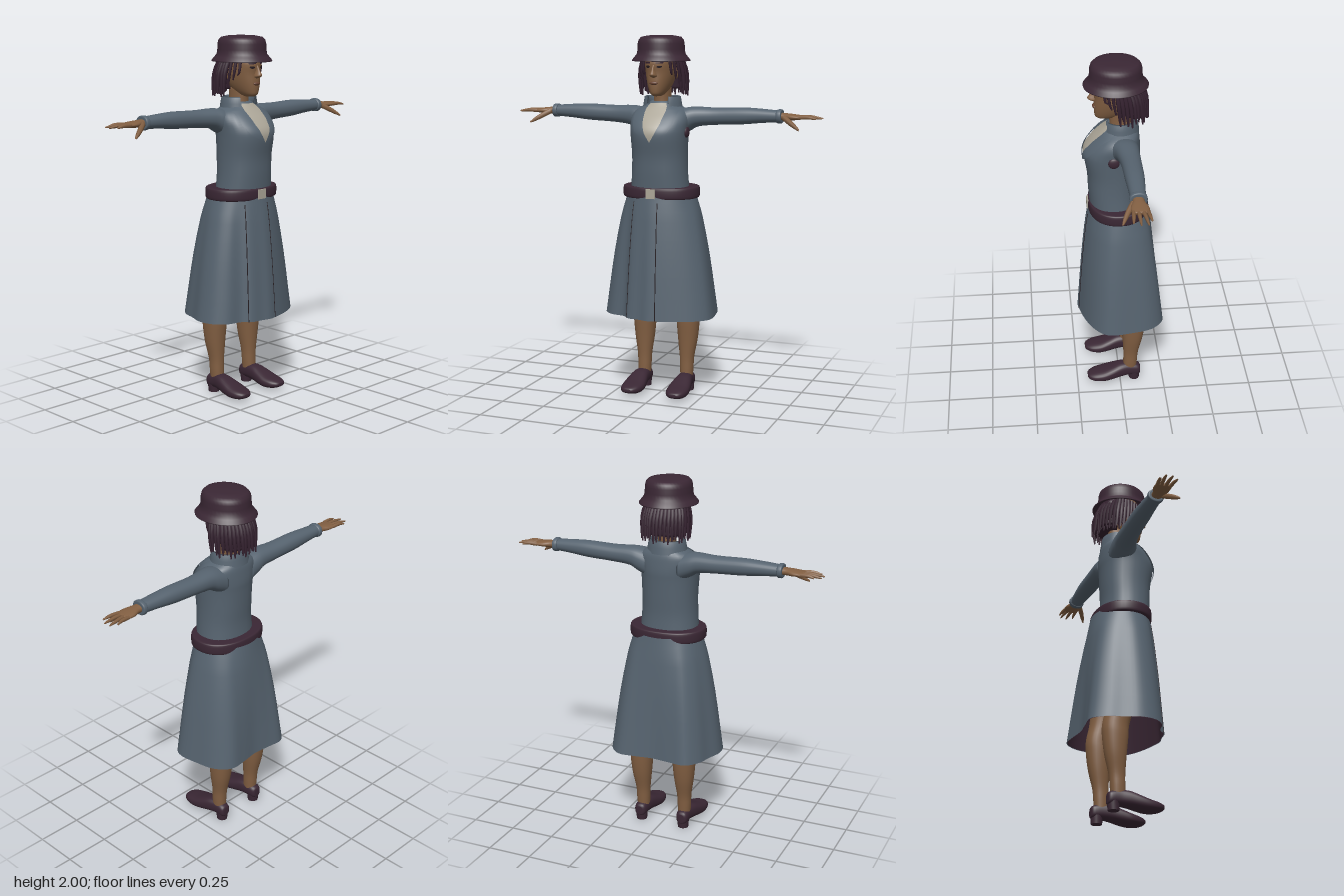
import * as THREE from 'three';

const mat = (name, color, double) => {
  const m = new THREE.MeshStandardMaterial({ color });
  m.name = name;
  if (double) m.side = THREE.DoubleSide;
  return m;
};

// Axis maps for lofts: (t along, u, v across), all right-handed
const alongY = (t, u, v) => [u, t, v];
const alongX = (t, u, v) => [t, v, u];
const alongZ = (t, u, v) => [v, u, t];

// Surface through a list of closed rings of [x, y, z] points
function skin(rings, capped = true) {
  const n = rings[0].length, pos = rings.flat(2), index = [];
  for (let i = 0; i < rings.length - 1; i++)
    for (let j = 0; j < n; j++) {
      const a = i * n + j, b = i * n + (j + 1) % n, c = a + n, d = b + n;
      index.push(a, c, b, b, c, d);
    }
  if (capped) [0, rings.length - 1].forEach((r) => {
    const centre = pos.length / 3, mid = [0, 1, 2].map((k) => rings[r].reduce((s, p) => s + p[k], 0) / n);
    pos.push(...mid);
    for (let j = 0; j < n; j++) {
      const a = r * n + j, b = r * n + (j + 1) % n;
      index.push(...(r ? [a, centre, b] : [a, b, centre]));
    }
  });
  return build(pos, index);
}

function build(pos, index) {
  const g = new THREE.BufferGeometry();
  g.setAttribute('position', new THREE.Float32BufferAttribute(pos, 3));
  g.setIndex(index);
  g.computeVertexNormals();
  return g;
}

// Smoothly subdivide sections [t, uMin, uMax, vMin, vMax]
function refine(s, k = 4) {
  const out = [], at = (i) => s[Math.max(0, Math.min(s.length - 1, i))];
  for (let i = 0; i < s.length - 1; i++)
    for (let j = 0; j < k; j++) {
      const f = j / k;
      out.push(s[i].map((p1, c) => {
        const p0 = at(i - 1)[c], p2 = at(i + 1)[c], p3 = at(i + 2)[c];
        return p1 + 0.5 * f * (p2 - p0 + f * (2 * p0 - 5 * p1 + 4 * p2 - p3 + f * (3 * (p1 - p2) + p3 - p0)));
      }));
    }
  out.push(s[s.length - 1]);
  return out;
}

function loft(sections, map = alongY, p = 0.9, n = 28) {
  const bend = (v) => Math.sign(v) * Math.abs(v) ** p;
  return skin(refine(sections).map(([t, u0, u1, v0, v1]) => Array.from({ length: n }, (_, j) => {
    const a = (j / n) * Math.PI * 2;
    return map(t, (u0 + u1) / 2 + (u1 - u0) / 2 * bend(Math.cos(a)), (v0 + v1) / 2 + (v1 - v0) / 2 * bend(Math.sin(a)));
  })));
}

// Thin sheet lying on the front of a lofted body; rows are [y, xLeft, xRight]
function panel(sections, rows, lift, p = 0.9) {
  const dense = refine(sections), pos = [], index = [], m = 8, k = 5, lerp = THREE.MathUtils.lerp;
  const frontZ = (x, y) => {
    const i = Math.max(0, dense.findIndex((s, q) => q === dense.length - 2 || dense[q + 1][0] >= y));
    const f = (y - dense[i][0]) / (dense[i + 1][0] - dense[i][0]);
    const [, u0, u1, v0, v1] = dense[i].map((v, c) => lerp(v, dense[i + 1][c], f));
    const r = Math.min(1, Math.abs(x - (u0 + u1) / 2) / ((u1 - u0) / 2));
    return (v0 + v1) / 2 + (v1 - v0) / 2 * (1 - r ** (2 / p)) ** (p / 2);
  };
  const total = (rows.length - 1) * k;
  for (let i = 0; i <= total; i++) {
    const q = Math.min(rows.length - 2, Math.floor(i / k)), f = i / k - q;
    const [y, l, r] = rows[q].map((v, c) => lerp(v, rows[q + 1][c], f));
    for (let j = 0; j <= m; j++) {
      const x = lerp(l, r, j / m), a = i * (m + 1) + j;
      pos.push(x, y, frontZ(x, y) + lift);
      if (i < total && j < m) index.push(a, a + 1, a + m + 1, a + 1, a + m + 2, a + m + 1);
    }
  }
  return build(pos, index);
}

// Tube that narrows from r0 to r1
function taper(points, r0, r1, sides = 7, steps = 8) {
  const curve = new THREE.CatmullRomCurve3(points.map((p) => new THREE.Vector3(...p)));
  const g = new THREE.TubeGeometry(curve, steps, r0, sides), pos = g.attributes.position, v = new THREE.Vector3();
  for (let i = 0; i < pos.count; i++) {
    const t = Math.floor(i / (sides + 1)) / steps;
    v.fromBufferAttribute(pos, i).lerp(curve.getPointAt(t), (1 - r1 / r0) * t ** 3);
    pos.setXYZ(i, v.x, v.y, v.z);
  }
  return g;
}

function flip(g) {
  const ix = g.index.array;
  for (let i = 0; i < ix.length; i += 3) [ix[i], ix[i + 1]] = [ix[i + 1], ix[i]];
  g.computeVertexNormals();
  return g;
}
const mirror = (g) => flip(g.clone().scale(-1, 1, 1));
const ball = (x, y, z, sx, sy, sz) => new THREE.SphereGeometry(1, 16, 12).scale(sx, sy, sz).translate(x, y, z);
const sym = (rows) => rows.map(([y, x, z0, z1]) => [y, -x, x, z0, z1]);

export function createModel() {
  const cloth = mat('slate cloth', 0x56636f, true), skinTone = mat('brown skin', 0x825f42);
  const plum = mat('dark plum', 0x3a2734, true), hairTone = mat('hair plum', 0x34212f, true);
  const cream = mat('cream', 0xaca698, true), lip = mat('lip brown', 0x694534, true);
  const ink = mat('dark lines', 0x241b20, true);
  const model = new THREE.Group();
  const add = (name, g, m) => {
    const mesh = new THREE.Mesh(g, m);
    mesh.name = name;
    model.add(mesh);
  };
  const pair = (name, g, m) => {
    add(name + 'Left', g, m);
    add(name + 'Right', mirror(g), m);
  };

  // Jacket body, shirt, lapels and collar
  const torso = sym([[1.14, 0.165, -0.11, 0.155], [1.25, 0.155, -0.105, 0.163], [1.35, 0.152, -0.11, 0.168],
    [1.45, 0.156, -0.115, 0.184], [1.5, 0.16, -0.118, 0.178], [1.55, 0.165, -0.115, 0.142],
    [1.59, 0.15, -0.11, 0.102], [1.62, 0.1, -0.1, 0.072], [1.645, 0.06, -0.08, 0.05]]);
  add('jacketBody', loft(torso), cloth);
  add('shirtFront', panel(torso, [[1.43, -0.003, 0.003], [1.5, -0.045, 0.045], [1.56, -0.06, 0.06], [1.61, -0.06, 0.06], [1.635, -0.045, 0.045]], 0.005), cream);
  pair('lapel', panel(torso, [[1.43, 0, 0.006], [1.48, 0.03, 0.09], [1.53, 0.05, 0.118], [1.6, 0.06, 0.122], [1.625, 0.055, 0.09]], 0.01), cloth);
  const collar = [[0.088, 1.6], [0.086, 1.64], [0.092, 1.672], [0.1, 1.668], [0.106, 1.635], [0.112, 1.6]].map((p) => new THREE.Vector2(...p));
  add('collar', new THREE.LatheGeometry(collar, 36, 0.65, Math.PI * 2 - 1.3).scale(1, 1, 0.9).translate(0, 0, -0.012), cloth);
  add('sideRosette', ball(0.158, 1.48, 0.035, 0.012, 0.03, 0.03), plum);

  // Sleeves, cuffs and hands
  pair('sleeve', loft([[0.09, -0.1, 0.06, 1.45, 1.6], [0.15, -0.1, 0.045, 1.48, 1.612], [0.2, -0.096, 0.027, 1.507, 1.615],
    [0.3, -0.095, 0.01, 1.518, 1.612], [0.45, -0.094, 0.005, 1.525, 1.616], [0.55, -0.088, 0, 1.535, 1.612],
    [0.66, -0.08, -0.005, 1.543, 1.604]], alongX), cloth);
  pair('cuff', loft([[0.642, -0.082, -0.003, 1.54, 1.606], [0.648, -0.087, 0.002, 1.536, 1.611], [0.666, -0.087, 0.002, 1.536, 1.611], [0.67, -0.08, -0.005, 1.543, 1.604]], alongX), cloth);
  pair('palm', loft([[0.65, -0.07, -0.014, 1.552, 1.595], [0.69, -0.072, -0.01, 1.554, 1.592], [0.73, -0.087, 0.002, 1.555, 1.588], [0.775, -0.088, 0.0, 1.56, 1.582], [0.785, -0.08, -0.01, 1.566, 1.578]], alongX), skinTone);
  [[0.85, -0.092], [0.885, -0.072], [0.888, -0.036], [0.865, 0.0]].forEach(([x, z], i) => {
    const z0 = -0.078 + i * 0.023;
    pair('finger' + (i + 1), taper([[0.765, 1.571, z0], [0.82, 1.573, (z0 + z) / 2], [x, 1.566, z]], 0.0105, 0.003), skinTone);
  });
  pair('thumb', taper([[0.685, 1.57, -0.015], [0.735, 1.54, 0.018], [0.785, 1.508, 0.045]], 0.015, 0.004), skinTone);

  // Belt and buckle
  add('belt', loft(sym([[1.118, 0.2, -0.145, 0.152], [1.126, 0.213, -0.155, 0.165], [1.174, 0.213, -0.155, 0.165], [1.182, 0.2, -0.145, 0.152]]), alongY, 0.9, 48), plum);
  add('buckle', new THREE.BoxGeometry(0.054, 0.052, 0.009).translate(-0.003, 1.15, 0.168), cream);

  // Flared skirt blended from an oval waist to a rippled hem
  const hem = new THREE.CatmullRomCurve3([[0, 0.235], [0.06, 0.225], [0.15, 0.2], [0.25, 0.15], [0.31, 0.08], [0.3, -0.06],
    [0.27, -0.17], [0.2, -0.235], [0.1, -0.232], [0, -0.22], [-0.1, -0.23], [-0.2, -0.235], [-0.26, -0.17], [-0.285, -0.09],
    [-0.315, 0], [-0.3, 0.09], [-0.24, 0.15], [-0.16, 0.17], [-0.12, 0.21], [-0.05, 0.222]].map(([x, z]) => new THREE.Vector3(x, 0, z)), true);
  const levels = [[1.15, -0.02], [1.1, 0.1], [1.05, 0.22], [1, 0.32], [0.9, 0.48], [0.8, 0.62], [0.7, 0.74], [0.58, 0.87], [0.46, 1]];
  const skirtPoint = (u, [y, w]) => {
    const h = hem.getPoint(u), a = Math.atan2(h.x, h.z);
    return [THREE.MathUtils.lerp(0.19 * Math.sin(a), h.x, w), y, THREE.MathUtils.lerp(0.165 * Math.cos(a), h.z, w)];
  };
  const skirt = skin(levels.map((l) => Array.from({ length: 80 }, (_, j) => skirtPoint(j / 80, l))), false);
  add('skirt', skirt, cloth);
  add('skirtLining', flip(skirt.clone().scale(0.985, 1, 0.985)), plum);
  [0.75, 17.7].forEach((u, i) => add('skirtSeam' + (i + 1), taper(levels.slice(1).map((l) => skirtPoint(u / 20, l)), 0.0025, 0.0024, 5, 24), ink));

  // Legs and shoes
  pair('leg', loft([[0.06, 0.095, 0.16, -0.095, -0.02], [0.13, 0.091, 0.165, -0.1, -0.02], [0.2, 0.088, 0.168, -0.107, -0.02],
    [0.3, 0.076, 0.184, -0.13, -0.014], [0.4, 0.068, 0.193, -0.143, -0.005], [0.47, 0.066, 0.195, -0.143, 0], [0.6, 0.06, 0.2, -0.12, 0.03], [0.9, 0.03, 0.19, -0.11, 0.08]]), skinTone);
  pair('shoe', loft([[-0.118, 0.035, 0.085, 0.112, 0.148], [-0.105, 0.028, 0.1, 0.097, 0.163], [-0.05, 0.028, 0.112, 0.09, 0.168],
    [0, 0.022, 0.111, 0.084, 0.179], [0.05, 0.013, 0.094, 0.075, 0.19], [0.1, 0.008, 0.076, 0.07, 0.195], [0.15, 0.012, 0.064, 0.08, 0.189],
    [0.18, 0.022, 0.054, 0.1, 0.172], [0.19, 0.03, 0.046, 0.115, 0.155]], alongZ, 0.8), plum);
  pair('shoeHeel', new THREE.CylinderGeometry(0.034, 0.03, 0.05, 16).translate(0.13, 0.025, -0.083), plum);

  // Head and face
  add('neck', loft(sym([[1.58, 0.055, -0.08, 0.05], [1.64, 0.046, -0.07, 0.045], [1.72, 0.046, -0.07, 0.05]])), skinTone);
  const head = sym([[1.674, 0.018, 0.04, 0.1], [1.685, 0.034, 0, 0.119], [1.71, 0.05, -0.05, 0.125], [1.75, 0.065, -0.09, 0.127],
    [1.8, 0.075, -0.1, 0.126], [1.86, 0.078, -0.1, 0.131], [1.92, 0.07, -0.08, 0.1]]);
  add('head', loft(head), skinTone);
  add('nose', loft(sym([[1.774, 0.007, 0.1, 0.13], [1.782, 0.018, 0.1, 0.15], [1.792, 0.017, 0.1, 0.16], [1.815, 0.009, 0.1, 0.147], [1.845, 0.007, 0.1, 0.131]])), skinTone);
  add('lips', ball(0, 1.745, 0.124, 0.024, 0.01, 0.011), lip);
  pair('ear', ball(0.08, 1.795, -0.008, 0.01, 0.032, 0.018), skinTone);
  pair('eye', panel(head, [[1.826, 0.027, 0.037], [1.832, 0.018, 0.046], [1.838, 0.024, 0.044]], 0.003), ink);
  pair('brow', panel(head, [[1.85, 0.016, 0.05], [1.857, 0.016, 0.052]], 0.004), hairTone);

  // Hair: under-layer, hanging locks and short front locks
  add('hairBase', loft(sym([[1.71, 0.1, -0.14, -0.03], [1.78, 0.1, -0.135, -0.02], [1.88, 0.1, -0.12, 0.0]])), hairTone);
  const lock = (deg, r0, r1, end, thick, i) => {
    const a = THREE.MathUtils.degToRad(deg), s = Math.sin(a), c = Math.cos(a), rm = r0 * 0.3 + r1 * 0.7 + 0.006;
    add('hairLock' + i, taper([[s * r0, 1.885, c * r0 - 0.005], [s * rm, 1.8, c * rm - 0.02], [s * r1, end, c * r1 - 0.03]], thick, 0.004, 6, 6), hairTone);
  };
  for (let i = 0; i < 23; i++) lock(78 + i * 9.3, 0.102, 0.128 + 0.004 * Math.sin(i * 2.3), 1.682 + 0.012 * Math.sin(i * 1.7), 0.0125, i);
  for (let i = 0; i < 16; i++) lock(84 + i * 12.8, 0.09, 0.103, 1.69 + 0.01 * Math.cos(i * 2.1), 0.013, 30 + i);
  [42, 54, 66].forEach((d, i) => [d, 360 - d].forEach((deg, k) => lock(deg, 0.108, 0.118, 1.79 - i * 0.025, 0.009, 50 + i * 2 + k)));

  // Hat with a short sloping brim
  const hat = [[0.1, 1.9], [0.125, 1.878], [0.157, 1.861], [0.158, 1.866], [0.142, 1.886], [0.131, 1.9], [0.127, 1.925], [0.126, 1.955],
    [0.121, 1.976], [0.108, 1.99], [0.07, 1.998], [0, 2]].map((p) => new THREE.Vector2(...p));
  add('hat', new THREE.LatheGeometry(hat, 40).scale(1, 1, 1.09).translate(0, 0, 0.011), plum);
  return model;
}
